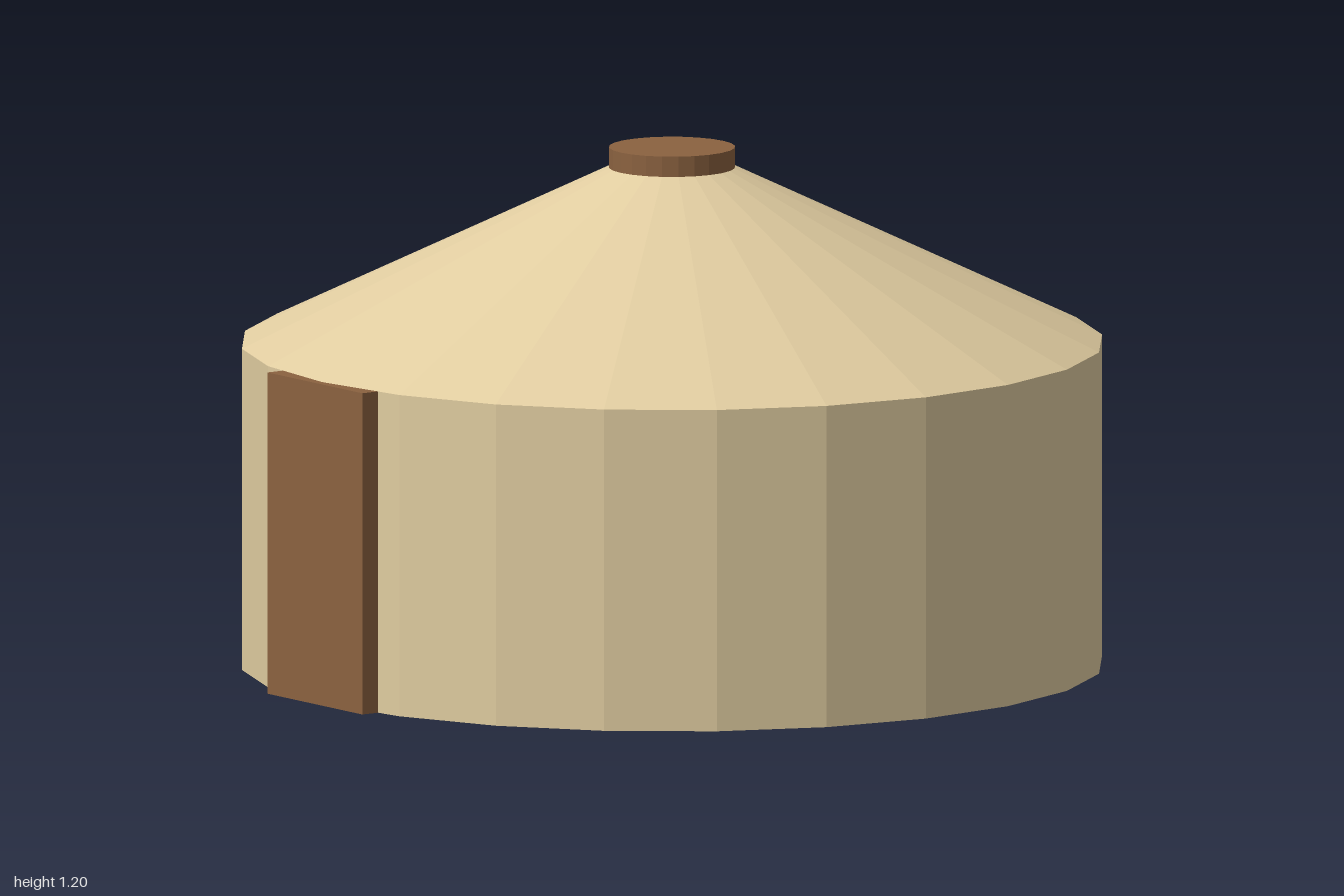
import * as THREE from 'three';

const RADIUS = 0.99, SIDES = 24, WALL_H = 0.745, CROWN_R = 0.145, ROOF_TOP = 1.15;

export function createModel() {
  const model = new THREE.Group();
  model.name = 'yurt';

  const canvas = new THREE.MeshStandardMaterial({ color: 0xe0cca0, flatShading: true, side: THREE.DoubleSide });
  canvas.name = 'cream canvas';
  const wood = new THREE.MeshStandardMaterial({ color: 0x8b6240, flatShading: true });
  wood.name = 'brown wood';

  const add = (name, geometry, material, y, z) => {
    const mesh = new THREE.Mesh(geometry, material);
    mesh.name = name;
    mesh.position.set(0, y, z);
    model.add(mesh);
  };
  const drum = (top, bottom, y0, y1, open) =>
    new THREE.CylinderGeometry(top, bottom, y1 - y0, SIDES, 1, open).translate(0, (y0 + y1) / 2, 0);

  // Open-bottomed canvas shell: round wall and shallow roof
  add('wall', drum(RADIUS, RADIUS, 0, WALL_H, true), canvas, 0, -0.01);
  add('roof', drum(CROWN_R, RADIUS, WALL_H, ROOF_TOP, true), canvas, 0, -0.01);

  // Wooden crown closing the roof
  add('crown', drum(CROWN_R, CROWN_R, ROOF_TOP, 1.197, false), wood, 0, -0.01);

  // Door slab set through the front of the wall
  add('door', new THREE.BoxGeometry(0.37, WALL_H, 0.05), wood, WALL_H / 2, 0.975);

  return model;
}
